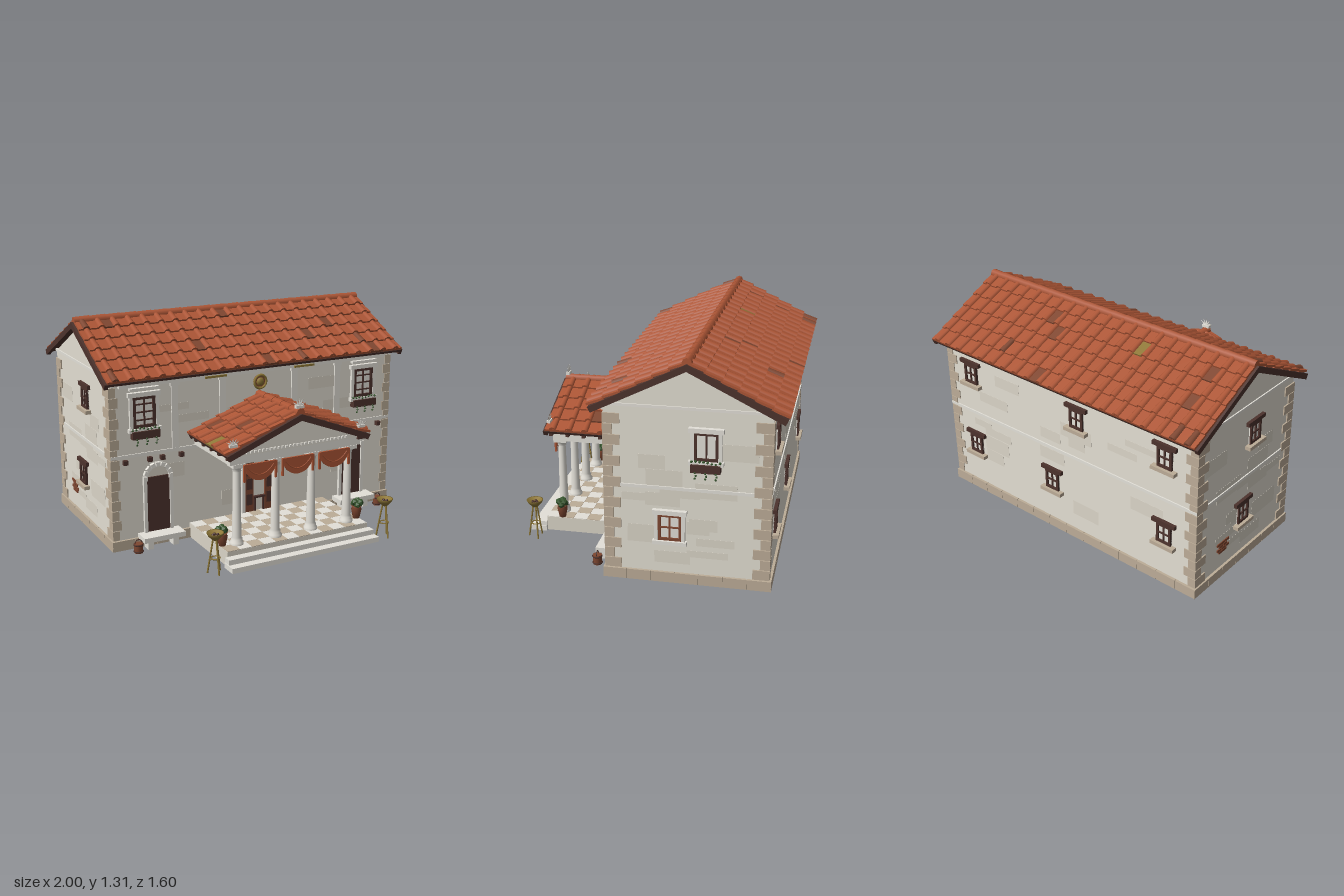
import * as THREE from 'three';
import { mergeGeometries } from 'three/addons/utils/BufferGeometryUtils.js';

const mat = (name, color) => Object.assign(new THREE.MeshStandardMaterial({ color, side: THREE.DoubleSide }), { name });
const M = {
  wall: mat('plaster', 0xe4dfd3), worn: mat('weathered plaster', 0xdbd5c8), trim: mat('pale stone', 0xe4e1d9),
  stone: mat('corner stone', 0xbdad98), tile: mat('terracotta', 0xad5636), tileDark: mat('dark terracotta', 0x7f4731),
  wood: mat('dark wood', 0x4d332d), bronze: mat('bronze', 0x8f7838), leaf: mat('leaf green', 0x38572f),
  dark: mat('underside', 0x3f2b26),
};
let seed = 7;
const rnd = () => (seed = (seed * 16807) % 2147483647) / 2147483647;

function add(parent, name, geo, material, x = 0, y = 0, z = 0) {
  const m = new THREE.Mesh(geo, material);
  m.name = name;
  m.position.set(x, y, z);
  parent.add(m);
  return m;
}
function sub(parent, name, x = 0, y = 0, z = 0, ry = 0) {
  const g = new THREE.Group();
  g.name = name;
  g.position.set(x, y, z);
  g.rotation.y = ry;
  parent.add(g);
  return g;
}
const box = (w, h, d, x = 0, y = 0, z = 0) => new THREE.BoxGeometry(w, h, d).translate(x, y, z);
// boxes given as [width, height, depth, x, y, z], merged into one mesh
const boxes = (parent, name, material, list) => add(parent, name, mergeGeometries(list.map(b => box(...b))), material);
function prism(points, depth) {
  const s = new THREE.Shape(points.map(p => new THREE.Vector2(...p)));
  return new THREE.ExtrudeGeometry(s, { depth, bevelEnabled: false }).translate(0, 0, -depth / 2);
}
const blob = (r, x, y, z) => new THREE.IcosahedronGeometry(r, 0).translate(x, y, z);

// Gabled tiled roof, ridge along local z with its top at the origin; odd tiles are given as 'side,column,row'
function roof(parent, name, { length, run, rise, cols, rows, mustard, darkTiles }) {
  const g = sub(parent, name);
  const chevron = (t, depth) => prism([[-run, -rise], [0, 0], [run, -rise], [run - t * 0.4, -rise - t * 0.8], [0, -t], [t * 0.4 - run, -rise - t * 0.8]], depth);
  add(g, 'roofBoards', chevron(0.018, length), M.wood);
  for (const s of [-1, 1]) add(g, 'bargeBoard', chevron(0.038, 0.024), M.wood, 0, 0, s * (length / 2 + 0.002));
  const a = Math.atan2(rise, run), w = length / cols, l = Math.hypot(run, rise) / rows;
  const parts = { tile: [], tileDark: [], bronze: [] };
  for (const side of [-1, 1]) {
    const place = geo => geo.rotateX(a).rotateY(side * Math.PI / 2);
    for (let r = 0; r < rows; r++) {
      const s = (r + 0.5) * l;
      for (let c = 0; c <= cols; c++) {
        const id = `${side},${c},${r}`, edge = c === 0 ? 1 : c === cols ? -1 : 0;
        const key = id === mustard ? 'bronze' : darkTiles.includes(id) ? 'tileDark' : 'tile';
        const pan = box(edge ? w / 2 : w, 0.013, l * 1.07).rotateX(-0.1);
        parts[key].push(place(pan.translate(c * w - length / 2 + edge * w / 4, 0.008, s)));
        if (c === cols) continue;
        const cover = new THREE.CylinderGeometry(0.023, 0.018, l * 1.05, 6, 1, false, Math.PI / 2, Math.PI);
        const coverKey = rnd() < 0.02 ? 'tileDark' : 'tile';
        parts[coverKey].push(place(cover.rotateX(Math.PI / 2 - 0.07).translate((c + 0.5) * w - length / 2, 0.009, s)));
      }
    }
  }
  const n = Math.round(length / 0.1), rl = length / n;
  for (let i = 0; i < n; i++)
    parts.tile.push(new THREE.CylinderGeometry(0.028, 0.025, rl, 8).rotateX(Math.PI / 2).translate(0, 0.004, (i + 0.5) * rl - length / 2));
  for (const k in parts) add(g, k === 'tile' ? 'roofTiles' : 'oddRoofTiles', mergeGeometries(parts[k]), M[k]);
  return g;
}

function flowerBox(parent, w, y) {
  boxes(parent, 'flowerBox', M.wood, [[w, 0.045, 0.04, 0, y, 0.022]]);
  const leaves = [];
  for (let i = 0; i < 8; i++) leaves.push(blob(0.009, (i / 7 - 0.5) * w * 0.95, y + 0.028 + rnd() * 0.012, 0.026));
  for (const k of [-0.35, 0, 0.35]) for (let j = 0; j < 3; j++) leaves.push(blob(0.007, k * w + (j % 2) * 0.005, y - 0.022 - j * 0.016, 0.04));
  add(parent, 'trailingPlants', mergeGeometries(leaves), M.leaf);
}

// Window centred on its opening and facing local +z
function windowUnit(parent, name, x, y, z, ry, { w, h, f = 0.015, frame = M.wood, stone = false, rows = 2, planter = false }) {
  const g = sub(parent, name, x, y, z, ry);
  boxes(g, 'pane', M.trim, [[w, h, 0.006, 0, 0, 0.003]]);
  const bars = [[f, h, 0.016, -w / 2 + f / 2, 0, 0.008], [f, h, 0.016, w / 2 - f / 2, 0, 0.008],
    [w, f, 0.016, 0, h / 2 - f / 2, 0.008], [w, f, 0.016, 0, -h / 2 + f / 2, 0.008], [0.009, h, 0.014, 0, 0, 0.007]];
  for (let i = 1; i < rows; i++) bars.push([w, 0.008, 0.014, 0, h * (i / rows - 0.5), 0.007]);
  boxes(g, 'windowFrame', frame, bars);
  if (stone) boxes(g, 'stoneSurround', M.trim, [[0.02, h, 0.018, -w / 2 - 0.01, 0, 0.009], [0.02, h, 0.018, w / 2 + 0.01, 0, 0.009],
    [w + 0.06, 0.026, 0.026, 0, h / 2 + 0.013, 0.013], [w + 0.06, 0.022, 0.03, 0, -h / 2 - 0.011, 0.015]]);
  else {
    boxes(g, 'lintel', M.wood, [[w + 0.06, 0.024, 0.02, 0, h / 2 + 0.012, 0.01]]);
    boxes(g, 'sill', M.stone, [[w + 0.06, 0.022, 0.035, 0, -h / 2 - 0.011, 0.017]]);
  }
  if (planter) flowerBox(g, w + 0.03, -h / 2 - 0.036);
}

function sideDoor(parent, x) {
  const g = sub(parent, 'sideDoor', x, 0, 0.2);
  boxes(g, 'doorLeaf', M.wood, [[0.145, 0.335, 0.012, 0, 0.2525, 0.004]]);
  boxes(g, 'doorJambs', M.trim, [-1, 1].map(s => [0.02, 0.33, 0.02, s * 0.082, 0.25, 0.01]));
  const arch = [];
  for (let i = 0; i < 9; i++)
    arch.push(box(0.027, 0.024, 0.024, 0, 0.08, 0.01).rotateZ((i / 8 - 0.5) * Math.PI).translate(0, 0.415, 0));
  add(g, 'doorArch', mergeGeometries(arch), M.trim);
  boxes(g, 'doorStep', M.trim, [[0.26, 0.03, 0.105, 0, 0.07, 0.052], [0.035, 0.055, 0.07, -0.08, 0.028, 0.04], [0.035, 0.055, 0.07, 0.08, 0.028, 0.04]]);
}

function brazier(parent, x) {
  const g = sub(parent, 'brazier', x, 0, 0.74);
  add(g, 'bowl', new THREE.LatheGeometry([[0.004, 0.19], [0.02, 0.2], [0.04, 0.222], [0.05, 0.24], [0.043, 0.24], [0.02, 0.222], [0.001, 0.218]]
    .map(p => new THREE.Vector2(...p)), 14), M.bronze);
  const legs = [0, 1, 2].map(i => new THREE.CylinderGeometry(0.005, 0.005, 0.215, 6).rotateX(-0.16).translate(0, 0.106, 0.028).rotateY(i * Math.PI * 2 / 3));
  legs.push(new THREE.TorusGeometry(0.026, 0.004, 5, 12).rotateX(Math.PI / 2).translate(0, 0.09, 0));
  add(g, 'tripod', mergeGeometries(legs), M.bronze);
  add(g, 'coals', mergeGeometries([0, 1, 2, 3].map(i => blob(0.01, Math.cos(i * 1.6) * 0.015, 0.226, Math.sin(i * 1.6) * 0.015))), M.wood);
}

function fan(parent, x, y, size) {
  const petals = [];
  for (let i = -2; i <= 2; i++) petals.push(new THREE.ConeGeometry(0.01, 0.05, 5).scale(1, 1, 0.6).translate(0, 0.032, 0).rotateZ(i * 0.5));
  petals.push(box(0.055, 0.018, 0.025));
  add(parent, 'roofFan', mergeGeometries(petals), M.trim, x, y, 0.675).scale.setScalar(size);
}

export function createModel() {
  const model = new THREE.Group();
  model.name = 'villa';
  const Z = -0.255, P = Math.PI;

  // House body, underside and roof
  const body = prism([[-0.455, 0.004], [0.455, 0.004], [0.455, 1.022], [0, 1.252], [-0.455, 1.022]], 1.9);
  add(model, 'houseWalls', body.rotateY(P / 2), M.wall, 0, 0, Z);
  boxes(model, 'underside', M.dark, [[1.87, 0.004, 0.88, 0, 0.002, Z]]);
  const main = roof(model, 'mainRoof', { length: 1.972, run: 0.53, rise: 0.264, cols: 21, rows: 6, mustard: '1,14,1',
    darkTiles: ['1,19,1', '1,19,3', '1,9,5', '1,8,2', '1,7,1', '-1,10,0', '-1,15,3', '-1,17,2', '-1,11,5', '-1,19,5', '-1,2,0', '-1,7,3'] });
  main.position.set(0, 1.278, -0.258);
  main.rotation.y = P / 2;

  // Faded plaster patches
  const patches = [];
  for (let i = 0; i < 14; i++) {
    const y = 0.1 + rnd() * 0.82, x = (rnd() - 0.5) * 1.5, z = Z + (rnd() - 0.5) * 0.6, w = 0.1 + rnd() * 0.14, h = 0.04 + rnd() * 0.06;
    patches.push([w, h, 0.912, x, y, Z], [1.902, h, w, 0, 1.0 - y, z]);
  }
  boxes(model, 'plasterPatches', M.worn, patches);

  // Plinth stones and quoins
  const stones = [], quoins = [];
  for (let i = 0; i < 14; i++) for (const z of [0.2, -0.71]) stones.push([1.93 / 14 - 0.002, 0.06, 0.03, (i - 6.5) * 1.93 / 14, 0.03, z]);
  for (let i = 0; i < 7; i++) for (const x of [-0.95, 0.95]) stones.push([0.03, 0.06, 0.94 / 7 - 0.002, x, 0.03, Z + (i - 3) * 0.94 / 7]);
  for (let i = 0; i < 15; i++) for (const sx of [-1, 1]) for (const sz of [-1, 1]) {
    const a = sz > 0 ? (i % 2 ? 0.055 : 0.042) : (i % 2 ? 0.08 : 0.05), b = i % 2 ? 0.055 : 0.095;
    quoins.push([a, 0.057, b, sx * (0.958 - a / 2), 0.092 + i * 0.061, Z + sz * (0.46 - b / 2)]);
  }
  boxes(model, 'plinth', M.stone, stones);
  boxes(model, 'quoins', M.stone, quoins);

  // String course, cornice and facade pilasters
  boxes(model, 'stringCourse', M.trim, [[1.915, 0.018, 0.925, 0, 0.565, Z], [1.915, 0.016, 0.925, 0, 1.025, Z], [1.8, 0.03, 0.03, 0, 0.985, 0.21]]);
  const pilasters = [];
  for (const x of [-0.555, -0.245, 0.245, 0.555]) pilasters.push([0.04, 0.4, 0.01, x, 0.775, 0.204], [0.055, 0.022, 0.016, x, 0.96, 0.206]);
  boxes(model, 'pilasters', M.trim, pilasters);
  boxes(model, 'eaveRods', M.bronze, [-1, 1].map(s => [0.14, 0.012, 0.012, s * 0.3, 0.977, 0.228]));
  boxes(model, 'beamEnds', M.wood, [-0.87, -0.72, -0.64, -0.52, 0.52, 0.64, 0.72, 0.87].map(x => [0.027, 0.027, 0.03, x, 0.532, 0.21]));

  // Windows
  for (const s of [-1, 1]) {
    windowUnit(model, 'frontWindow', s * 0.747, 0.818, 0.2, 0, { w: 0.14, h: 0.185, f: 0.018, stone: true, rows: 4, planter: true });
    boxes(model, 'windowHood', M.trim, [[0.18, 0.014, 0.03, s * 0.747, 0.955, 0.21]]);
  }
  windowUnit(model, 'leftUpperWindow', 0.95, 0.82, -0.36, P / 2, { w: 0.13, h: 0.16, stone: true, rows: 1, planter: true });
  windowUnit(model, 'leftLowerWindow', 0.95, 0.335, -0.163, P / 2, { w: 0.13, h: 0.155, stone: true, frame: M.tileDark });
  const small = { w: 0.1, h: 0.125 };
  for (const x of [0.75, -0.11, -0.74]) windowUnit(model, 'backUpperWindow', x, 0.835, -0.71, P, small);
  for (const x of [0.75, 0.1, -0.74]) windowUnit(model, 'backLowerWindow', x, 0.34, -0.71, P, small);
  windowUnit(model, 'rightUpperWindow', -0.95, 0.835, -0.19, -P / 2, small);
  windowUnit(model, 'rightLowerWindow', -0.95, 0.34, -0.27, -P / 2, small);
  const bricks = [];
  for (let r = 0; r < 4; r++) for (let c = 0; c < 2 + r % 2; c++) bricks.push([0.012, 0.016, 0.035, -0.951, 0.17 + r * 0.019, -0.47 + c * 0.038 - (r % 2) * 0.018]);
  boxes(model, 'exposedBricks', M.tileDark, bricks);

  // Doors
  for (const s of [-1, 1]) sideDoor(model, s * 0.672);
  boxes(model, 'mainDoorSurround', M.trim, [[0.02, 0.36, 0.02, -0.11, 0.27, 0.21], [0.02, 0.36, 0.02, 0.11, 0.27, 0.21], [0.25, 0.03, 0.03, 0, 0.45, 0.21]]);
  boxes(model, 'mainDoorLeaves', M.tileDark, [-1, 1].map(s => [0.06, 0.33, 0.016, s * 0.07, 0.255, 0.206]));
  boxes(model, 'doorPanels', M.wood, [-1, 1].flatMap(s => [0.17, 0.27, 0.36].map(y => [0.04, 0.07, 0.008, s * 0.07, y, 0.213])));
  boxes(model, 'table', M.wood, [[0.08, 0.012, 0.02, 0, 0.18, 0.21], [0.01, 0.09, 0.016, -0.03, 0.135, 0.21], [0.01, 0.09, 0.016, 0.03, 0.135, 0.21]]);
  add(model, 'doorGarland', mergeGeometries([-4, -3, -2, -1, 0, 1, 2, 3, 4].map(i => blob(0.012, i * 0.022, 0.485 + i * i * 0.0015, 0.22))), M.leaf);

  // Wall medallion
  add(model, 'medallion', new THREE.CylinderGeometry(0.04, 0.04, 0.016, 20).rotateX(P / 2), M.tileDark, 0, 0.91, 0.212);
  add(model, 'medallionRim', new THREE.TorusGeometry(0.04, 0.008, 6, 24), M.bronze, 0, 0.91, 0.22);
  add(model, 'medallionBoss', new THREE.SphereGeometry(0.026, 10, 6).scale(1, 1, 0.5), M.bronze, 0, 0.91, 0.22);

  // Hollow porch platform with checker floor and steps
  const porch = sub(model, 'porch');
  boxes(porch, 'platform', M.worn, [[0.94, 0.02, 0.5, 0, 0.078, 0.45], [0.94, 0.07, 0.03, 0, 0.035, 0.685],
    [0.03, 0.07, 0.5, -0.455, 0.035, 0.45], [0.03, 0.07, 0.5, 0.455, 0.035, 0.45]]);
  const checks = [[], []];
  for (let i = 0; i < 12; i++) for (let j = 0; j < 6; j++) checks[(i + j) % 2].push([0.077, 0.004, 0.082, (i - 5.5) * 0.078, 0.089, 0.243 + j * 0.083]);
  boxes(porch, 'paleFloorTiles', M.trim, checks[0]);
  boxes(porch, 'brownFloorTiles', M.stone, checks[1]);
  boxes(porch, 'steps', M.trim, [[0.97, 0.06, 0.05, 0, 0.03, 0.725], [0.98, 0.03, 0.1, 0, 0.015, 0.75]]);

  // Columns, entablature and pediment
  const profile = [[0.04, 0.09], [0.04, 0.105], [0.032, 0.115], [0.034, 0.125], [0.027, 0.135], [0.022, 0.525], [0.027, 0.53], [0.024, 0.537], [0.036, 0.555]];
  for (const x of [-0.37, -0.12, 0.12, 0.37]) {
    add(porch, 'column', new THREE.LatheGeometry(profile.map(p => new THREE.Vector2(...p)), 16), M.trim, x, 0, 0.62);
    boxes(porch, 'abacus', M.trim, [[0.078, 0.022, 0.078, x, 0.565, 0.62]]);
  }
  boxes(porch, 'entablature', M.trim, [[0.86, 0.05, 0.07, 0, 0.6, 0.62], [0.06, 0.05, 0.42, -0.4, 0.6, 0.4], [0.06, 0.05, 0.42, 0.4, 0.6, 0.4]]);
  add(porch, 'pediment', prism([[-0.43, 0.622], [0.43, 0.622], [0.43, 0.636], [0, 0.79], [-0.43, 0.636]], 0.46), M.wall, 0, 0, 0.43);
  const dentils = [];
  for (let i = 0; i < 27; i++) dentils.push([0.014, 0.014, 0.014, (i - 13) * 0.025, 0.64, 0.664]);
  boxes(porch, 'dentils', M.trim, dentils);
  boxes(porch, 'eaveBrackets', M.wood, [0.26, 0.36, 0.46, 0.56, 0.66].flatMap(z => [-1, 1].map(s => [0.05, 0.02, 0.02, s * 0.43, 0.622, z])));
  const cover = roof(porch, 'porchRoof', { length: 0.488, run: 0.47, rise: 0.182, cols: 5, rows: 5, mustard: '-1,3,4',
    darkTiles: ['-1,3,2', '-1,1,3', '1,4,1', '1,3,3', '1,4,4'] });
  cover.position.set(0, 0.827, 0.446);
  fan(porch, 0, 0.865, 0.95);
  for (const s of [-1, 1]) fan(porch, s * 0.42, 0.695, 0.85);

  // Cloth swags between the columns
  const swag = new THREE.Shape();
  swag.moveTo(-0.1, 0.572).lineTo(0.1, 0.572);
  swag.bezierCurveTo(0.095, 0.435, -0.095, 0.435, -0.1, 0.572);
  for (const x of [-0.245, 0, 0.245]) {
    add(porch, 'swag', new THREE.ExtrudeGeometry(swag, { depth: 0.012, bevelEnabled: false }), M.tile, x, 0, 0.66);
    boxes(porch, 'swagTails', M.tile, [-1, 1].map(s => [0.012, 0.1, 0.012, x + s * 0.1, 0.52, 0.667]));
    const fold = new THREE.QuadraticBezierCurve3(new THREE.Vector3(-0.085, 0.555, 0), new THREE.Vector3(0, 0.45, 0), new THREE.Vector3(0.085, 0.555, 0));
    add(porch, 'swagFold', new THREE.TubeGeometry(fold, 12, 0.004, 5), M.tile, x, 0, 0.672);
  }

  // Potted shrubs, braziers and baskets
  const pot = [[0.001, 0.092], [0.02, 0.092], [0.032, 0.15], [0.026, 0.16], [0.032, 0.168], [0.001, 0.168]].map(p => new THREE.Vector2(...p));
  for (const s of [-1, 1]) {
    add(model, 'pot', new THREE.LatheGeometry(pot, 12), M.tileDark, s * 0.455, 0, 0.605);
    add(model, 'shrub', mergeGeometries([0, 1, 2, 3, 4, 5].map(i => blob(0.022, Math.cos(i * 1.05) * 0.019, 0.178 + (i % 2) * 0.016, Math.sin(i * 1.05) * 0.019))), M.leaf, s * 0.46, 0, 0.605);
    brazier(model, s * 0.565);
    add(model, 'basket', new THREE.CylinderGeometry(0.027, 0.025, 0.058, 10), M.tileDark, s * 0.835, 0.031, 0.285);
    add(model, 'basketHoops', mergeGeometries([0.012, 0.052].map(y => new THREE.TorusGeometry(0.027, 0.004, 5, 12).rotateX(P / 2).translate(0, y, 0))), M.wood, s * 0.835, 0, 0.285);
    add(model, 'basketHandle', new THREE.TorusGeometry(0.022, 0.003, 5, 10, P), M.wood, s * 0.835, 0.06, 0.285);
  }
  return model;
}
